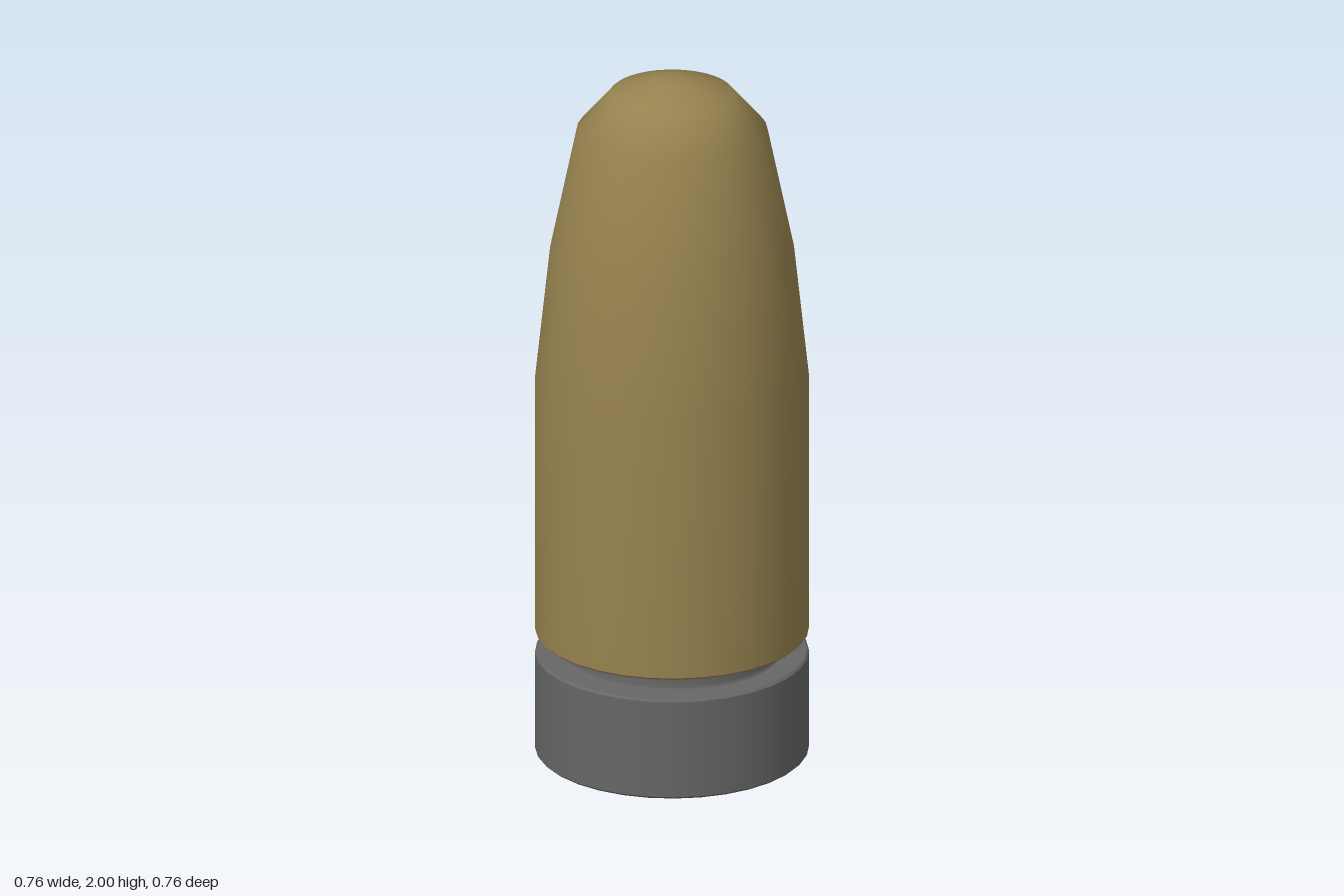
import * as THREE from 'three';

const SIDES = 32;

// Turns each profile section separately, so edges between sections stay sharp.
function turned(name, material, sections) {
  const group = new THREE.Group();
  group.name = name;
  sections.forEach((points, i) => {
    const profile = points.map(([r, y]) => new THREE.Vector2(r, y));
    const mesh = new THREE.Mesh(new THREE.LatheGeometry(profile, SIDES), material);
    mesh.name = `${name}Section${i + 1}`;
    group.add(mesh);
  });
  return group;
}

export function createModel() {
  const brass = new THREE.MeshStandardMaterial({ color: 0x96824f });
  brass.name = 'dull brass';
  const steel = new THREE.MeshStandardMaterial({ color: 0x666666 });
  steel.name = 'dark grey';

  const model = new THREE.Group();
  model.name = 'roundNosedShell';

  // Tapered body with a domed nose and a flat underside
  model.add(turned('body', brass, [
    [[0, 0.355], [0.374, 0.355]],
    [[0.374, 0.355], [0.38, 0.361]],
    [[0.38, 0.361], [0.38, 1.11], [0.338, 1.5], [0.265, 1.85], [0.17, 1.96], [0.05, 2], [0, 2]],
  ]));

  // Narrow groove between body and base
  model.add(turned('neck', steel, [
    [[0.306, 0.296], [0.3, 0.304], [0.3, 0.347], [0.306, 0.355]],
  ]));

  // Base disc with fine edge bevels
  model.add(turned('base', steel, [
    [[0, 0], [0.374, 0]],
    [[0.374, 0], [0.38, 0.006]],
    [[0.38, 0.006], [0.38, 0.29]],
    [[0.38, 0.29], [0.374, 0.296]],
    [[0.374, 0.296], [0, 0.296]],
  ]));

  return model;
}
